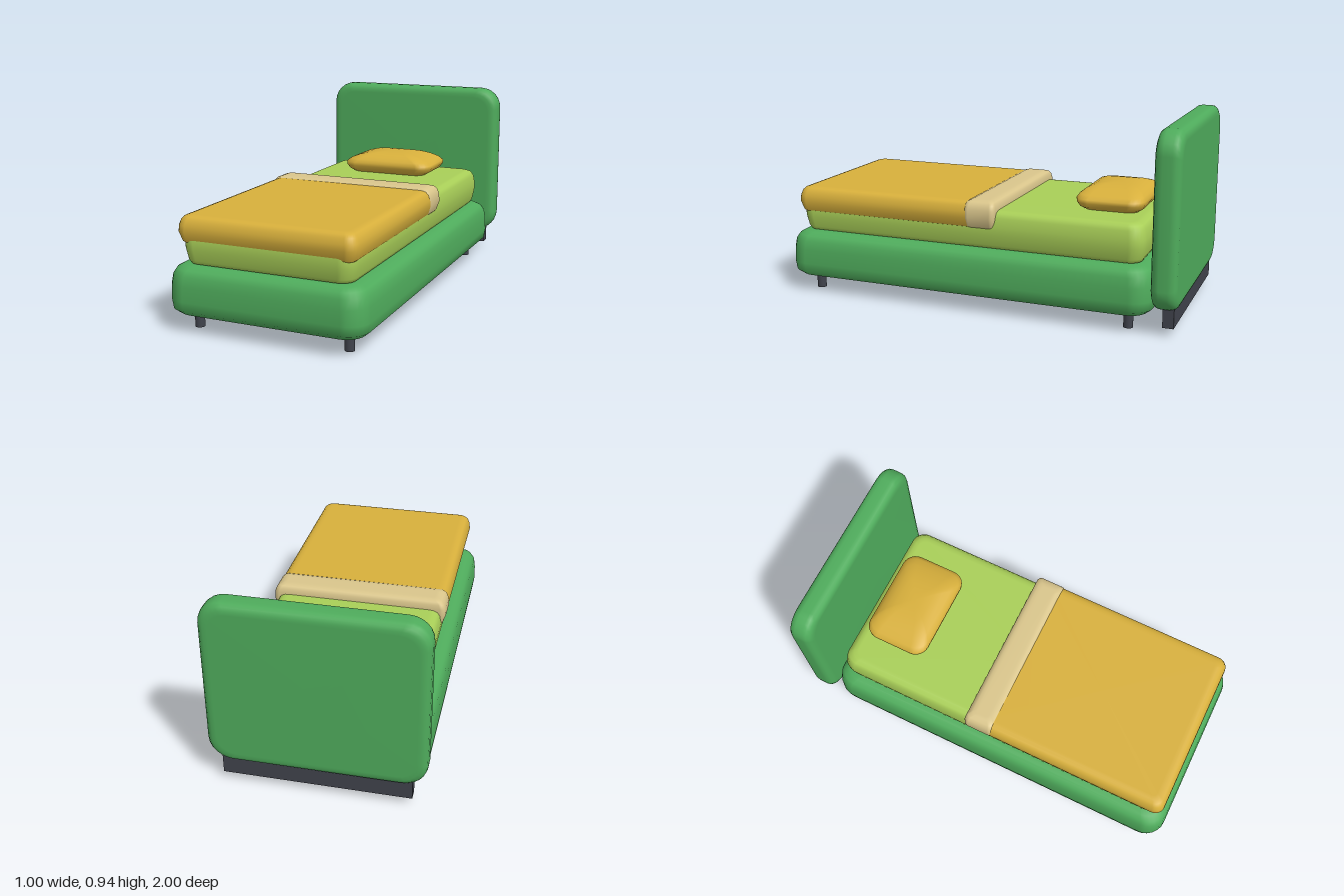
import * as THREE from 'three';

const mat = (name, color) => {
  const m = new THREE.MeshStandardMaterial({ color });
  m.name = name;
  return m;
};

// Soft block: rounded-rectangle rings stacked in y.
// Each ring is [y, inset in x, inset in z]; the z inset defaults to the x inset.
function softBlock(halfX, halfZ, radius, rings) {
  const steps = 6, n = 4 * (steps + 1), pos = [], idx = [];
  for (const [y, ix, iz = ix] of rings) {
    const hx = halfX - ix, hz = halfZ - iz;
    const r = Math.min(Math.max(radius - Math.min(ix, iz) * 0.5, 0.02), hx, hz);
    for (let q = 0; q < 4; q++) {
      const sx = q === 0 || q === 3 ? 1 : -1, sz = q < 2 ? 1 : -1;
      for (let s = 0; s <= steps; s++) {
        const a = (q + s / steps) * Math.PI / 2;
        pos.push(sx * (hx - r) + r * Math.cos(a), y, sz * (hz - r) + r * Math.sin(a));
      }
    }
  }
  for (let j = 0; j < rings.length - 1; j++) {
    for (let i = 0; i < n; i++) {
      const a = j * n + i, b = j * n + (i + 1) % n;
      idx.push(a, a + n, b, b, a + n, b + n);
    }
  }
  // caps
  const bottom = pos.length / 3, top = bottom + 1, last = (rings.length - 1) * n;
  pos.push(0, rings[0][0], 0, 0, rings[rings.length - 1][0], 0);
  for (let i = 0; i < n; i++) {
    const k = (i + 1) % n;
    idx.push(bottom, i, k, top, last + k, last + i);
  }
  const g = new THREE.BufferGeometry();
  g.setAttribute('position', new THREE.Float32BufferAttribute(pos, 3));
  g.setIndex(idx);
  g.computeVertexNormals();
  return g;
}

export function createModel() {
  const bed = new THREE.Group();
  bed.name = 'bed';
  const green = mat('green upholstery', 0x4fac5c);
  const lime = mat('lime sheet', 0xa9cf58);
  const mustard = mat('mustard fabric', 0xd8b03c);
  const cream = mat('cream lining', 0xdac68c);
  const dark = mat('dark metal', 0x40434c);

  const add = (name, geometry, material, x = 0, y = 0, z = 0) => {
    const mesh = new THREE.Mesh(geometry, material);
    mesh.name = name;
    mesh.position.set(x, y, z);
    bed.add(mesh);
    return mesh;
  };

  // upholstered base
  add('base', softBlock(0.485, 0.94, 0.1, [
    [0.07, 0.1], [0.071, 0.075], [0.08, 0.035], [0.105, 0.006], [0.15, 0],
    [0.22, 0.003], [0.265, 0.01], [0.29, 0.025], [0.304, 0.05], [0.309, 0.08], [0.31, 0.1],
  ]), green, 0, 0, 0.06);

  // mattress
  add('mattress', softBlock(0.422, 0.89, 0.07, [
    [0.305, 0.05], [0.312, 0.022], [0.33, 0.012], [0.38, 0.002], [0.42, 0],
    [0.465, 0.008], [0.484, 0.02], [0.493, 0.04], [0.495, 0.06],
  ]), lime, 0, 0, 0.06);

  // blanket and its turned-back edge
  add('blanket', softBlock(0.438, 0.515, 0.05, [
    [0.408, 0.05], [0.409, 0.022], [0.416, 0.014], [0.46, 0], [0.49, 0.003],
    [0.515, 0.012], [0.528, 0.025], [0.533, 0.042], [0.534, 0.06],
  ]), mustard, 0, 0, 0.445);
  add('blanketFold', softBlock(0.441, 0.079, 0.025, [
    [0.406, 0.05, 0.03], [0.408, 0.022, 0.012], [0.418, 0.014, 0.005], [0.46, 0, 0],
    [0.5, 0.003, 0], [0.522, 0.012, 0.004], [0.535, 0.025, 0.012], [0.541, 0.045, 0.028], [0.542, 0.06, 0.045],
  ]), cream, 0, 0, -0.036);

  // pillow
  add('pillow', softBlock(0.25, 0.167, 0.07, [
    [0.485, 0.08, 0.07], [0.492, 0.05, 0.04], [0.51, 0.018, 0.014], [0.532, 0.003, 0.002], [0.55, 0.003, 0],
    [0.567, 0.025, 0.01], [0.583, 0.065, 0.03], [0.595, 0.11, 0.058], [0.602, 0.155, 0.09], [0.605, 0.2, 0.13],
  ]), mustard, 0, 0, -0.61);

  // headboard standing on a dark plinth
  const headboard = add('headboard', softBlock(0.502, 0.412, 0.11, [
    [-0.06, 0.05], [-0.059, 0.03], [-0.052, 0.014], [-0.038, 0.003], [-0.02, 0],
    [0.02, 0], [0.038, 0.003], [0.052, 0.014], [0.059, 0.03], [0.06, 0.05],
  ]), green, 0, 0.528, -0.94);
  headboard.rotation.x = Math.PI / 2;
  add('headboardPlinth', new THREE.BoxGeometry(0.874, 0.1, 0.052), dark, 0, 0.09, -0.957);

  // legs
  for (const x of [-0.375, 0.375]) {
    for (const z of [0.872, -0.76]) {
      add('leg', new THREE.CylinderGeometry(0.023, 0.023, 0.1, 16), dark, x, 0.05, z);
    }
  }
  return bed;
}
